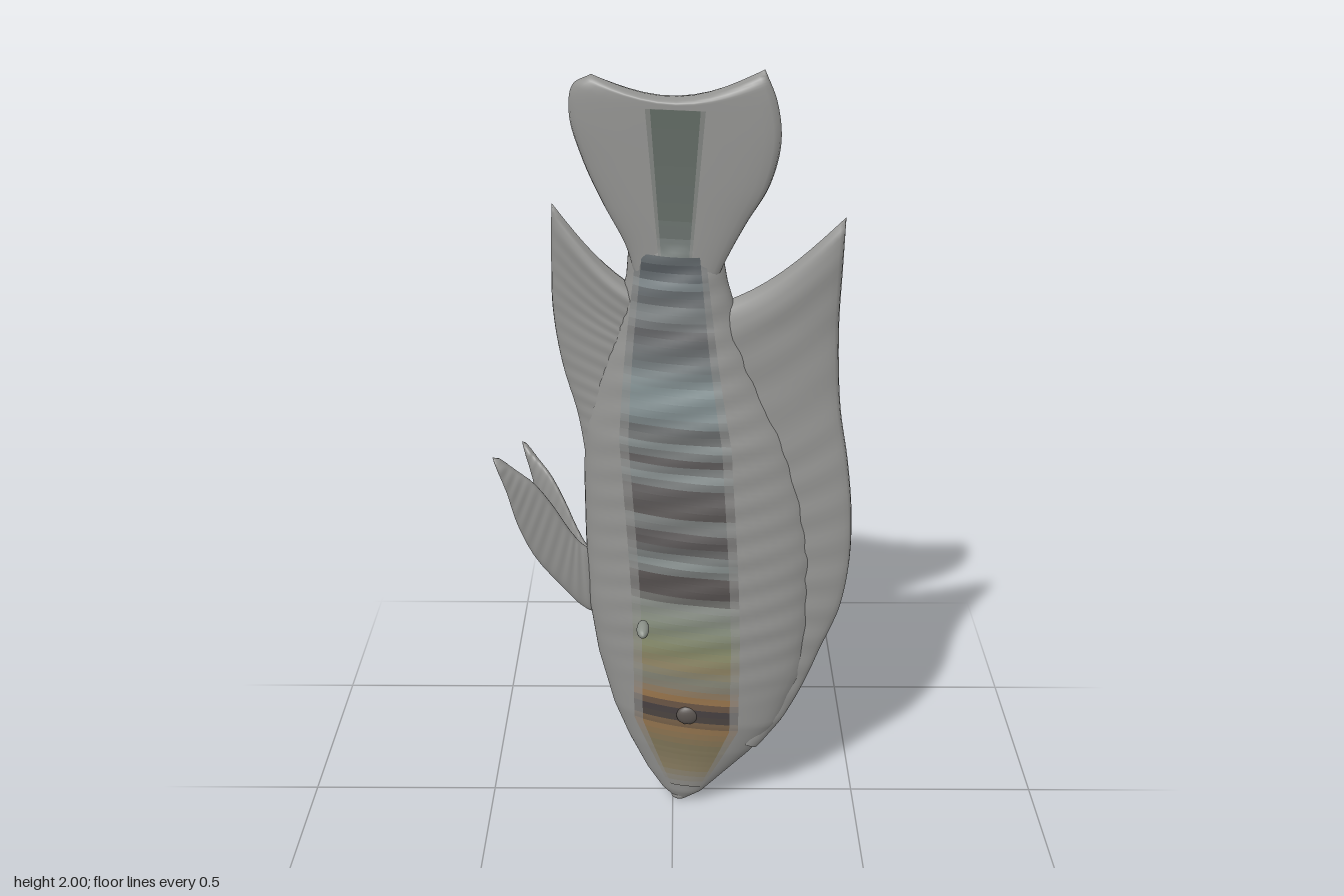
import * as THREE from 'three';

const SLOPE = 0.19; // yaw of the whole fish: z grows with x
const GREY = 0x929290;
// Body stations from nose to tail root: y, belly x, back x, centre z, half thickness
const STATIONS = [
  [0.005, 0.005, 0.035, 0.035, 0.01], [0.04, -0.03, 0.08, 0.036, 0.026],
  [0.1, -0.07, 0.13, 0.035, 0.038], [0.2, -0.12, 0.215, 0.03, 0.06],
  [0.3, -0.16, 0.285, 0.025, 0.077], [0.45, -0.2, 0.34, 0.01, 0.095],
  [0.6, -0.222, 0.36, 0, 0.104], [0.8, -0.227, 0.36, -0.01, 0.105],
  [0.95, -0.227, 0.335, -0.015, 0.102], [1.1, -0.222, 0.29, -0.02, 0.099],
  [1.25, -0.19, 0.22, -0.025, 0.088], [1.4, -0.14, 0.16, -0.025, 0.07],
  [1.5, -0.112, 0.13, -0.02, 0.06], [1.58, -0.105, 0.115, -0.015, 0.046],
  [1.68, -0.08, 0.09, -0.01, 0.026],
];

function station(y) {
  const last = STATIONS.length - 1;
  let i = 0;
  while (i < last - 1 && STATIONS[i + 1][0] < y) i++;
  const a = STATIONS[i], b = STATIONS[i + 1];
  const k = THREE.MathUtils.clamp((y - a[0]) / (b[0] - a[0]), 0, 1);
  const [l, r, c, t] = [1, 2, 3, 4].map((j) => a[j] + (b[j] - a[j]) * k);
  return { x: (l + r) / 2, w: (r - l) / 2, c, t };
}

const midPlane = (x, y) => station(y).c + SLOPE * x;
const tailPlane = (x) => -0.004 + SLOPE * x;
// Shallow slanting ridges across the flanks
const ridge = (x, y) => 0.0022 * Math.sin(85 * y - 25 * x) * THREE.MathUtils.smoothstep(y, 0.3, 0.6);

function skinZ(x, y, side) {
  const s = station(y);
  const u = Math.min(1, Math.abs((x - s.x) / s.w));
  return midPlane(x, y) + side * Math.sqrt(1 - u * u) * (s.t + ridge(x, y));
}

// Grid surface from a rule point(u, v)
function grid(nu, nv, point) {
  const pos = [], idx = [];
  for (let j = 0; j <= nv; j++)
    for (let i = 0; i <= nu; i++) pos.push(...point(i / nu, j / nv));
  for (let j = 0; j < nv; j++)
    for (let i = 0; i < nu; i++) {
      const a = j * (nu + 1) + i, b = a + nu + 1;
      idx.push(a, a + 1, b, a + 1, b + 1, b);
    }
  const g = new THREE.BufferGeometry();
  g.setAttribute('position', new THREE.Float32BufferAttribute(pos, 3));
  g.setIndex(idx);
  g.computeVertexNormals();
  return g;
}

// Colour at y between [y, colour] keys
function colorAt(keys, y) {
  let i = 0;
  while (i < keys.length - 2 && keys[i + 1][0] < y) i++;
  const [a, b] = [keys[i], keys[i + 1]];
  const k = THREE.MathUtils.clamp((y - a[0]) / (b[0] - a[0]), 0, 1);
  return new THREE.Color(a[1]).lerp(new THREE.Color(b[1]), k);
}

export function createModel() {
  const group = new THREE.Group();
  const add = (name, geo, color = GREY) => {
    const mesh = new THREE.Mesh(geo, new THREE.MeshStandardMaterial({ color, side: THREE.DoubleSide }));
    mesh.name = name;
    group.add(mesh);
    return mesh;
  };
  const blob = (name, size, at, color) => {
    const m = add(name, new THREE.SphereGeometry(1, 20, 12), color);
    m.scale.set(...size);
    m.position.set(...at);
  };

  // Body: elliptical cross-sections from nose to tail root
  const y0 = STATIONS[0][0], y1 = STATIONS.at(-1)[0];
  add('body', grid(48, 140, (u, v) => {
    const y = y0 + (y1 - y0) * Math.pow(v, 1.15), s = station(y), a = -u * Math.PI * 2;
    const x = s.x + s.w * Math.cos(a);
    return [x, y, midPlane(x, y) + Math.sin(a) * (s.t + ridge(x, y))];
  }));
  blob('nose', [0.024, 0.016, 0.016], [0.02, 0.016, 0.039], GREY);

  // Fins: lens-shaped sections strung between two edges, rows of [ax, ay, bx, by]
  function fin(name, rows, thickA, thickB, sag, rays, bend) {
    const edge = (k) => new THREE.CatmullRomCurve3(rows.map((r) => new THREE.Vector3(r[k], r[k + 1], 0)));
    const edgeA = edge(0), edgeB = edge(2);
    add(name, grid(32, 72, (u, v) => {
      const a = u * Math.PI * 2, s = (1 - Math.cos(a)) / 2;
      const p = edgeA.getPoint(v).lerp(edgeB.getPoint(v), s);
      p.y -= sag * v * v * Math.sin(Math.PI * s);
      const end = Math.sqrt(Math.max(0, 1 - Math.max(0, (v - 0.93) / 0.07) ** 2));
      const t = (thickA + (thickB - thickA) * s) / 2 + rays * Math.sin(v * 90);
      const z = Math.sign(Math.sin(a)) * Math.abs(Math.sin(a)) ** 0.6 * t * end;
      return [p.x, p.y, bend(p.x, p.y) + z];
    }));
  }

  fin('dorsalFin', [
    [0.18, 0.24, 0.23, 0.215], [0.2, 0.34, 0.293, 0.31], [0.2, 0.45, 0.345, 0.42],
    [0.22, 0.55, 0.385, 0.53], [0.22, 0.65, 0.428, 0.65], [0.22, 0.75, 0.447, 0.78],
    [0.2, 0.85, 0.446, 0.92], [0.18, 0.95, 0.43, 1.06], [0.15, 1.05, 0.406, 1.2],
    [0.1, 1.2, 0.393, 1.4], [0.06, 1.32, 0.394, 1.56], [0.05, 1.42, 0.395, 1.675],
  ], 0.1, 0.06, 0.04, 0.0015, midPlane);
  fin('analFin', [
    [-0.1, 0.95, -0.22, 1.0], [-0.1, 1.1, -0.24, 1.13], [-0.08, 1.2, -0.275, 1.26],
    [-0.06, 1.3, -0.294, 1.4], [-0.05, 1.36, -0.293, 1.53], [-0.04, 1.44, -0.287, 1.67],
  ], 0.09, 0.05, 0.03, 0.001, midPlane);
  fin('tailFin', [
    [-0.09, 1.5, 0.1, 1.5], [-0.112, 1.58, 0.125, 1.56], [-0.165, 1.68, 0.17, 1.65],
    [-0.21, 1.78, 0.22, 1.74], [-0.238, 1.88, 0.243, 1.84], [-0.228, 1.95, 0.232, 1.93],
    [-0.185, 1.975, 0.203, 2.0],
  ], 0.068, 0.068, 0.055, 0, tailPlane);

  // Pelvic fins: a pair spreading from one root on the belly edge
  const pelvic = [
    [-0.17, 0.55, -0.17, 0.72], [-0.225, 0.565, -0.235, 0.76], [-0.3, 0.65, -0.265, 0.8],
    [-0.36, 0.735, -0.31, 0.88], [-0.4, 0.83, -0.355, 0.945], [-0.425, 0.93, -0.4, 0.985],
    [-0.455, 1.025, -0.44, 1.02],
  ];
  const folded = pelvic.map((row) => row.map((n, i) => i % 2 ? 0.55 + (n - 0.55) * 0.92 : -0.2 + (n + 0.2) * 0.78));
  fin('leftPelvicFin', pelvic, 0.045, 0.03, 0, 0.001, (x) => -0.045 - 0.11 * (x + 0.22));
  fin('rightPelvicFin', folded, 0.045, 0.03, 0, 0.001, (x) => -0.068 + 0.72 * (x + 0.22));

  // Pectoral fin tips, one on each flank
  blob('frontPectoralFin', [0.016, 0.016, 0.036], [-0.075, 0.632, 0.164], 0x8a9088);
  blob('backPectoralFin', [0.02, 0.016, 0.04], [-0.065, 0.632, -0.138], 0x8c8a68);

  // Painted strips just above the skin, in thin slices, with a paler margin
  function strip(name, keys, slices, centre, half, side, surface = skinZ) {
    const ya = keys[0][0], step = (keys.at(-1)[0] - ya) / slices;
    for (const [widen, lift, fade] of [[1.2, 0.002, 0.55], [1, 0.0035, 0]])
      for (let i = 0; i < slices; i++) {
        const color = colorAt(keys, ya + (i + 0.5) * step).lerp(new THREE.Color(GREY), fade);
        add(name, grid(10, 4, (u, v) => {
          const y = ya + (i + v) * step;
          const x = centre(y) + half(y) * widen * (2 * u - 1);
          return [x, y, surface(x, y, side) + side * lift];
        }), color);
      }
  }

  // Near flank: banded stripe, ochre at the head and slate toward the tail
  strip('flankBands', [
    [0.07, GREY], [0.14, 0x8c8063], [0.22, 0x7f7558], [0.28, 0x957650], [0.32, 0x4a4340],
    [0.35, 0x453f42], [0.38, 0x97744c], [0.43, 0x7f8277], [0.48, 0x8f8464], [0.53, 0x868a68],
    [0.6, 0x858d7c], [0.66, 0x8b908a], [0.69, 0x544f4e], [0.74, 0x575251], [0.78, 0x899190],
    [0.83, 0x524e4e], [0.87, 0x666363], [0.89, 0x878d8c], [0.92, 0x5a5655], [0.98, 0x625f5f],
    [1.02, 0x8c9494], [1.06, 0x5e5b5b], [1.1, 0x858d8d], [1.13, 0x5c5a5a], [1.17, 0x7f8b8d],
    [1.24, 0x879597], [1.31, 0x6e7476], [1.38, 0x636466], [1.43, 0x868c8d], [1.47, 0x5a5d60],
    [1.5, 0x7f888b], [1.53, 0x4a4f54], [1.57, 0x666d70],
  ], 75, (y) => 0.035 - 0.04 * THREE.MathUtils.smoothstep(y, 0.5, 1.4),
  (y) => Math.min(0.015 + 0.35 * y, 0.115, 0.115 - 0.1 * (y - 1.1)), 1);

  // Far flank: olive head and a fading stripe along the body
  strip('backStripe', [
    [0.12, GREY], [0.2, 0x84835f], [0.28, 0x72764f], [0.35, 0x626c57], [0.41, 0x7e825a],
    [0.47, 0x8a8a78], [0.54, 0x86835e], [0.75, 0x888460], [1.0, 0x89866b], [1.5, 0x8c8b82],
  ], 34, () => 0.015, (y) => Math.min(0.03 + 0.25 * y, 0.085, 0.09 - 0.04 * (y - 0.5)), -1);

  // Dark stripe on both faces of the tail
  for (const side of [1, -1])
    strip('tailStripe', [[1.57, 0x7d8482], [1.65, 0x646c67], [1.91, 0x5f6861]], 8, () => 0.005,
      (y) => 0.035 + 0.07 * (y - 1.6), side, (x, y, s) => s * Math.max(
        s * tailPlane(x) + 0.033, s * skinZ(x, Math.min(y, 1.68), s)));

  // Eye and gill bumps on the head: x, y, flank
  for (const [x, y, side] of [[0.04, 0.33, 1], [0.08, 0.33, -1], [0.07, 0.46, -1], [-0.05, 0.47, -1]])
    blob('headBump', [0.03, 0.028, 0.014], [x, y, skinZ(x, y, side)], side > 0 ? 0x5a5450 : 0x767a58);
  return group;
}
